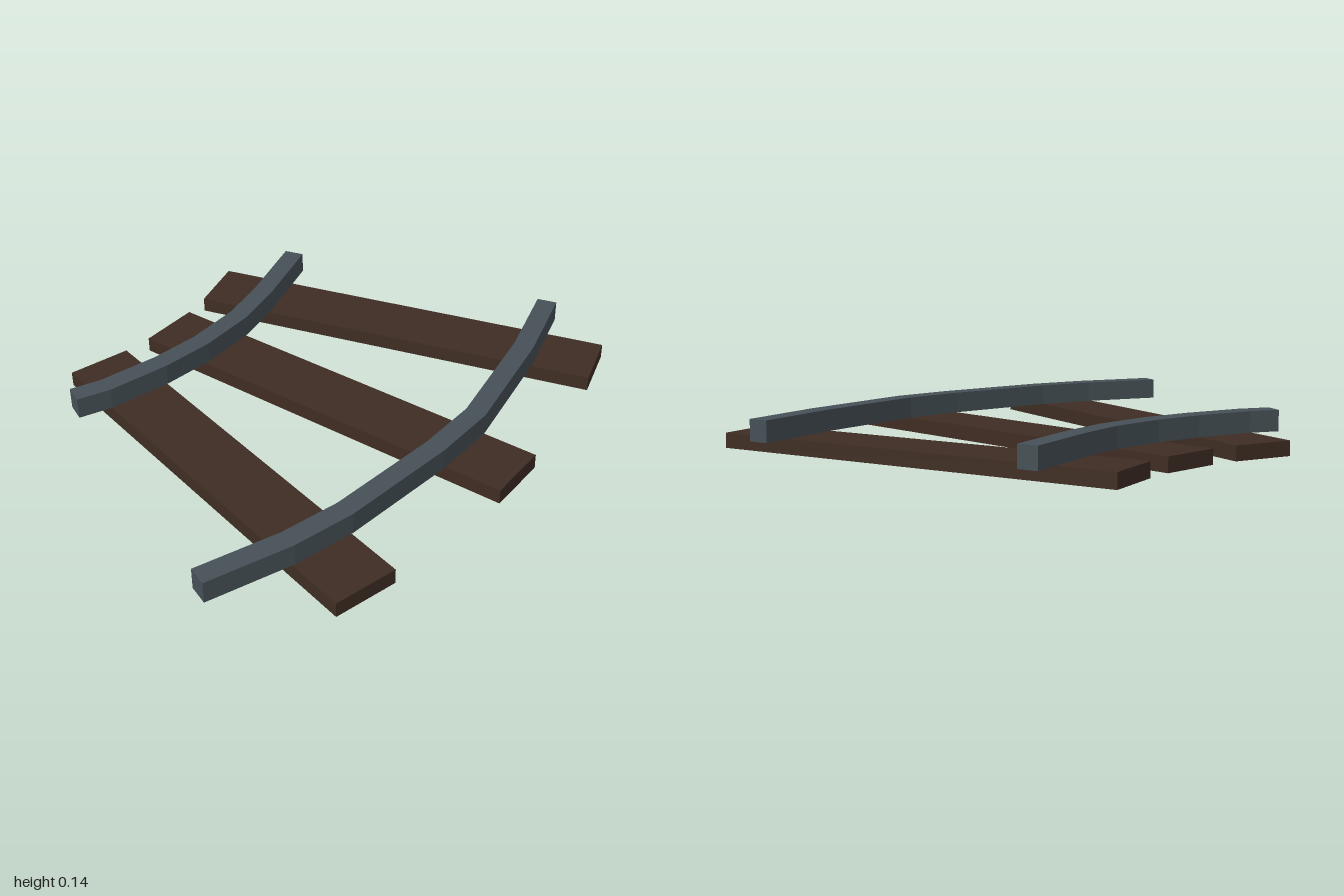
import * as THREE from 'three';

const wood = new THREE.MeshStandardMaterial({ color: 0x3f2d23 });
wood.name = 'dark wood';
const steel = new THREE.MeshStandardMaterial({ color: 0x455056 });
steel.name = 'blue grey steel';

const TIE_HEIGHT = 0.057, RAIL_HEIGHT = 0.081, RAIL_WIDTH = 0.077;

// Flat-sided bar following a polyline of [x, z] points, with mitred joints
function makeRail(name, points) {
  const path = points.map(([x, z]) => new THREE.Vector2(x, -z));
  const left = [], right = [];
  path.forEach((p, i) => {
    const before = p.clone().sub(path[Math.max(i - 1, 0)]).normalize();
    const after = path[Math.min(i + 1, path.length - 1)].clone().sub(p).normalize();
    const along = before.clone().add(after).normalize();
    const cosine = along.dot(i ? before : after);
    const offset = new THREE.Vector2(-along.y, along.x).multiplyScalar(RAIL_WIDTH / 2 / cosine);
    left.push(p.clone().add(offset));
    right.push(p.clone().sub(offset));
  });
  const outline = new THREE.Shape([...right, ...left.reverse()]);
  const geometry = new THREE.ExtrudeGeometry(outline, { depth: RAIL_HEIGHT, bevelEnabled: false });
  geometry.rotateX(-Math.PI / 2);
  const rail = new THREE.Mesh(geometry, steel);
  rail.name = name;
  rail.position.y = TIE_HEIGHT;
  return rail;
}

export function createModel() {
  const track = new THREE.Group();
  track.name = 'curvedTrack';

  // Wooden ties fanned around the bend: x, z, angle in degrees
  const tieGeometry = new THREE.BoxGeometry(0.243, TIE_HEIGHT, 1.62);
  [[-0.65, 0.178, 10], [-0.11, 0.005, 25], [0.366, -0.303, 40]].forEach(([x, z, angle], i) => {
    const tie = new THREE.Mesh(tieGeometry, wood);
    tie.name = `tie${i + 1}`;
    tie.position.set(x, TIE_HEIGHT / 2, z);
    tie.rotation.y = THREE.MathUtils.degToRad(angle);
    track.add(tie);
  });

  // Inner and outer rails
  track.add(
    makeRail('innerRail', [[-0.985, -0.347], [-0.86, -0.347], [-0.625, -0.39], [-0.43, -0.45],
      [-0.225, -0.548], [-0.06, -0.665], [0.192, -0.878]]),
    makeRail('outerRail', [[-0.985, 0.755], [-0.66, 0.738], [-0.43, 0.697], [0.005, 0.558],
      [0.235, 0.46], [0.635, 0.187], [0.902, -0.034]]),
  );
  return track;
}
